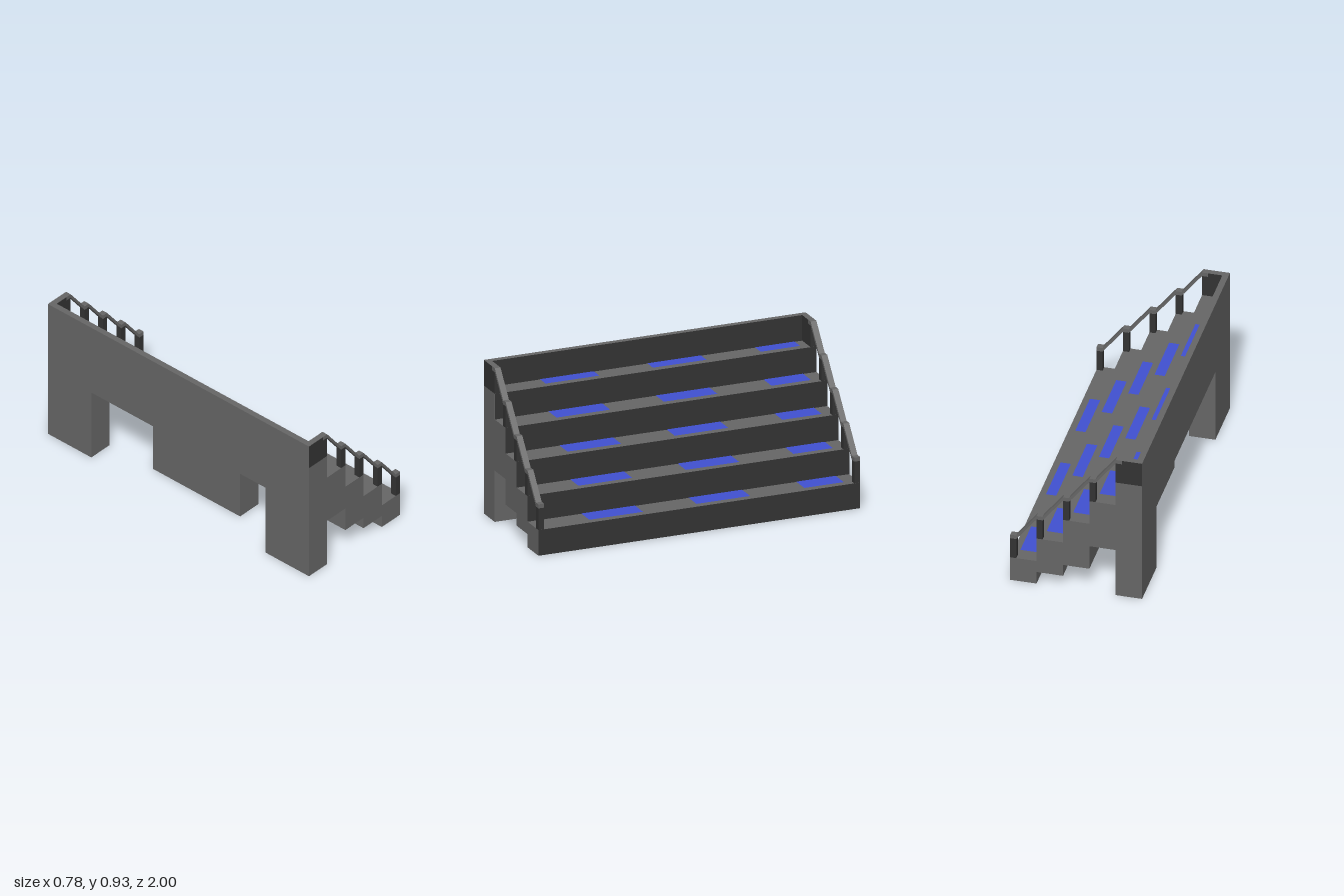
import * as THREE from 'three';

export function createModel() {
  const model = new THREE.Group();
  const grey = new THREE.MeshStandardMaterial({ color: 0x666666, flatShading: true });
  const dark = new THREE.MeshStandardMaterial({ color: 0x333333, flatShading: true });
  const blue = new THREE.MeshStandardMaterial({ color: 0x4050d0, flatShading: true });

  const add = (name, geometry, material) => {
    const mesh = new THREE.Mesh(geometry, material);
    mesh.name = name;
    model.add(mesh);
    return mesh;
  };
  // Box given by its limits on each axis
  const box = (name, [x0, x1], [y0, y1], [z0, z1], material) =>
    add(name, new THREE.BoxGeometry(x1 - x0, y1 - y0, z1 - z0), material)
      .position.set((x0 + x1) / 2, (y0 + y1) / 2, (z0 + z1) / 2);
  // Side profile extruded along z
  const extrude = (name, points, z0, z1, material) => {
    const shape = new THREE.Shape(points.map(([x, y]) => new THREE.Vector2(x, y)));
    const geometry = new THREE.ExtrudeGeometry(shape, { depth: z1 - z0, bevelEnabled: false });
    add(name, geometry, material).position.z = z0;
  };

  const edges = [-0.388, -0.233, -0.078, 0.077, 0.233, 0.388]; // step edges along x
  const tops = [0.775, 0.62, 0.465, 0.31, 0.155];
  const bottoms = [0.465, 0.31, 0.155, 0.08, 0];
  const t = 0.036; // thickness of walls, posts and rails

  // Stepped body: along the underside, then back up over the treads
  const lower = bottoms.flatMap((y, i) => [[edges[i], y], [edges[i + 1], y]]);
  const upper = tops.flatMap((y, i) => [[edges[i], y], [edges[i + 1], y]]).reverse();
  extrude('steppedBody', [...lower, ...upper], -1, 1, grey);

  // Dark riser panels
  edges.slice(1).forEach((x, i) => {
    const y0 = i < 4 ? tops[i + 1] : 0;
    const riser = add('riser', new THREE.PlaneGeometry(2, tops[i] - y0), dark);
    riser.rotation.y = Math.PI / 2;
    riser.position.set(x + 0.001, (tops[i] + y0) / 2, 0);
  });

  // Seat markings, three on each tread
  tops.forEach((y, i) => {
    const x0 = i === 0 ? edges[0] + t : edges[i];
    const x1 = edges[i + 1] - t - 0.002;
    for (const [z0, z1] of [[-0.915, -0.67], [-0.333, 0], [0.333, 0.667]]) {
      const seat = add('seatMarking', new THREE.PlaneGeometry(x1 - x0, z1 - z0), blue);
      seat.rotation.x = -Math.PI / 2;
      seat.position.set((x0 + x1) / 2, y + 0.002, (z0 + z1) / 2);
    }
  });

  // Supports under the body
  box('backLeg', [edges[0], edges[1]], [0, 0.465], [-1, -0.667], grey);
  box('backLeg', [edges[0], edges[1]], [0, 0.465], [0.667, 1], grey);
  box('middleSupport', [edges[1], edges[2]], [0, 0.31], [-0.333, 0.333], grey);

  // Wall behind the top step
  box('backWall', [edges[0], edges[0] + t], [0.775, 0.93], [-1 + t, 1 - t],
    [dark, grey, grey, grey, grey, grey]);

  // Rail profile: a flat cap over each post, joined by slopes
  const railTop = edges.slice(1).flatMap((x, i) => [[x - t, 0.93 - 0.155 * i], [x, 0.93 - 0.155 * i]]);
  const railBottom = railTop.map(([x, y]) => [x, y - 0.024]).reverse();

  // End panel, posts and handrail on both ends
  const panelFaces = [dark, grey, grey, dark, dark, dark];
  for (const z of [[-1, -1 + t], [1 - t, 1]]) {
    box('endPanel', [edges[0], edges[1] - t], [0.775, 0.93], z, panelFaces);
    tops.forEach((y, i) =>
      box('railPost', [edges[i + 1] - t, edges[i + 1]], [y, y + 0.131], z, dark));
    extrude('handrail', [...railTop, ...railBottom], z[0], z[1], grey);
  }
  return model;
}
